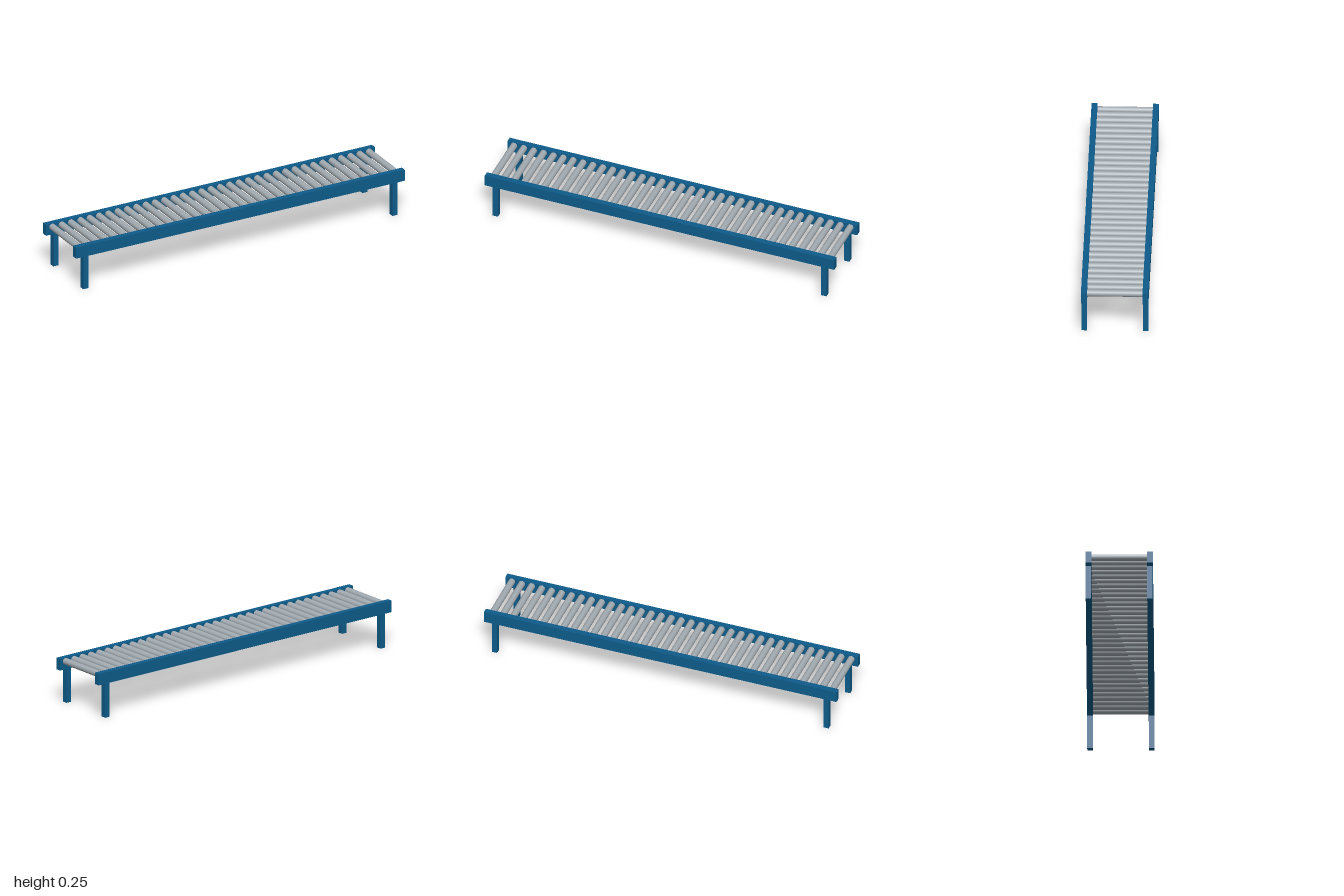
import * as THREE from 'three';

export function createModel() {
  const model = new THREE.Group();
  model.name = 'rollerConveyor';

  const blue = new THREE.MeshStandardMaterial({ color: 0x0e5c8a });
  blue.name = 'blue paint';
  const steel = new THREE.MeshStandardMaterial({ color: 0xa2abb1 });
  steel.name = 'grey steel';

  const add = (name, geometry, material, x, y, z) => {
    const mesh = new THREE.Mesh(geometry, material);
    mesh.name = name;
    mesh.position.set(x, y, z);
    model.add(mesh);
  };

  // Side rails and the legs beneath them
  const railZ = 0.1635;
  const railGeo = new THREE.BoxGeometry(2, 0.064, 0.032);
  const legGeo = new THREE.BoxGeometry(0.03, 0.19, 0.03);
  for (const sz of [1, -1]) {
    const end = sz > 0 ? 'front' : 'back';
    add(end + 'Rail', railGeo, blue, 0, 0.222, sz * railZ);
    for (const sx of [1, -1]) {
      add(end + (sx > 0 ? 'Left' : 'Right') + 'Leg', legGeo, blue, sx * 0.94, 0.095, sz * railZ);
    }
  }

  // Evenly spaced rollers between the rails
  const count = 35;
  const firstX = -0.9625;
  const rollerGeo = new THREE.CylinderGeometry(0.018, 0.018, 0.3, 32).rotateX(Math.PI / 2);
  for (let i = 0; i < count; i++) {
    const x = firstX - (2 * firstX * i) / (count - 1);
    add('roller' + (i + 1), rollerGeo, steel, x, 0.235, 0);
  }

  return model;
}
